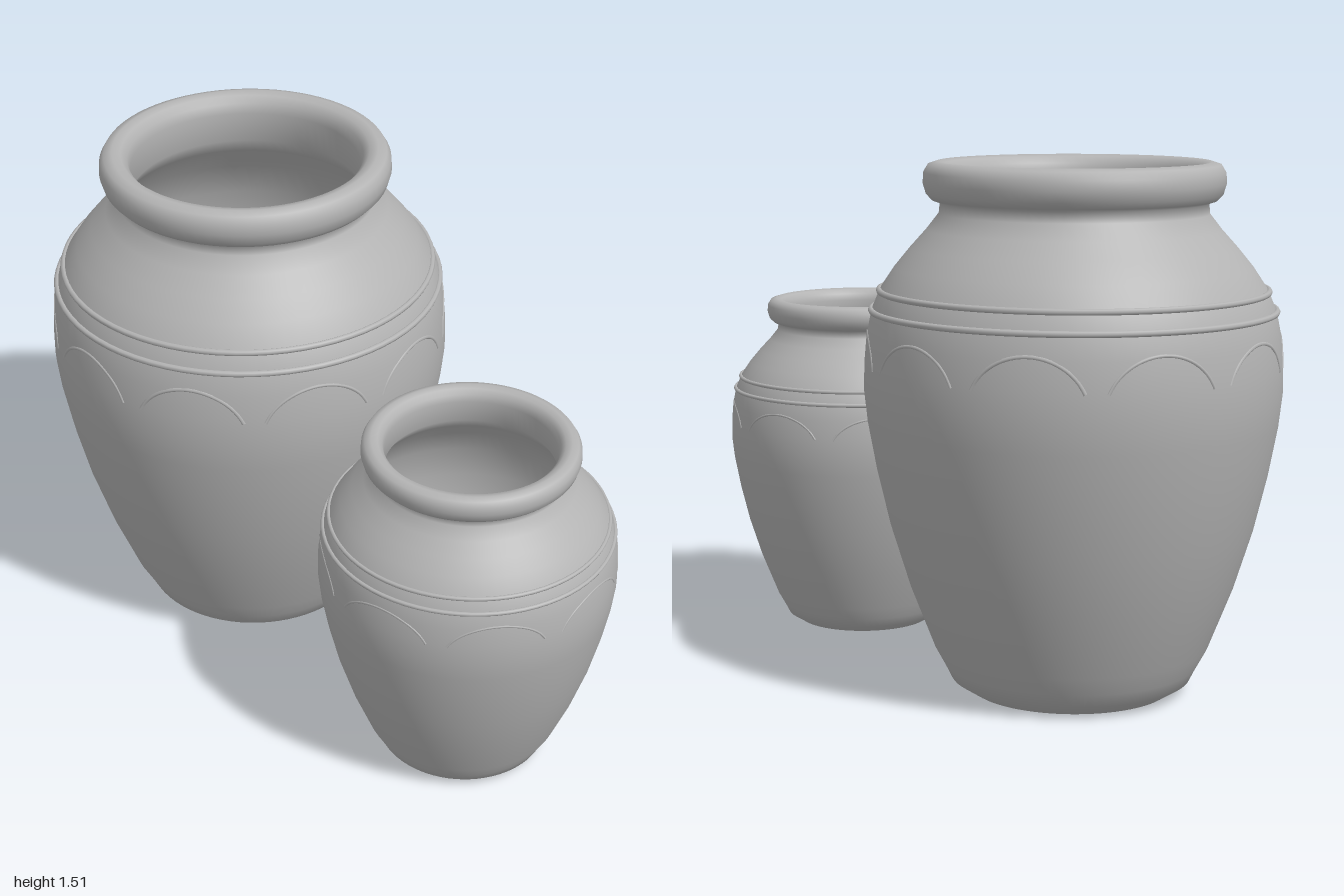
import * as THREE from 'three';

const SEGMENTS = 72;
const clay = new THREE.MeshStandardMaterial({ color: 0xb4b4b4 });
clay.name = 'grey clay';

// Points (radius, height) of the outer body, from foot to neck
const body = [
  [0.29, 0], [0.345, 0.035], [0.365, 0.075], [0.395, 0.13], [0.465, 0.31], [0.518, 0.48],
  [0.556, 0.64], [0.582, 0.78], [0.592, 0.87], [0.591, 0.95], [0.584, 1.03], [0.57, 1.1],
  [0.545, 1.16], [0.505, 1.22], [0.46, 1.275], [0.415, 1.325], [0.38, 1.37], [0.377, 1.4],
];
// Rolled rim and the inside, down to the floor
const rim = [
  [0.4, 1.408], [0.416, 1.425], [0.425, 1.455], [0.423, 1.485], [0.41, 1.507], [0.385, 1.515],
  [0.36, 1.509], [0.342, 1.49], [0.335, 1.46],
];
const inside = [
  [0.335, 1.37], [0.37, 1.32], [0.46, 1.22], [0.52, 1.1], [0.543, 0.95], [0.534, 0.78],
  [0.47, 0.48], [0.35, 0.13], [0.3, 0.05],
];

// Body radius at a given height
function radiusAt(y) {
  const i = body.findIndex((p) => p[1] >= y);
  const [r0, y0] = body[i - 1], [r1, y1] = body[i];
  return r0 + (r1 - r0) * (y - y0) / (y1 - y0);
}

function add(group, name, geometry) {
  const mesh = new THREE.Mesh(geometry, clay);
  mesh.name = name;
  group.add(mesh);
  return mesh;
}

function lathe(points) {
  return new THREE.LatheGeometry(points.map(([r, y]) => new THREE.Vector2(r, y)), SEGMENTS);
}

function makeJar(name, archCount, archHalf, archTurn) {
  const jar = new THREE.Group();
  jar.name = name;

  add(jar, 'wall', lathe([...body, ...rim, ...inside]));

  // Flat foot and inner floor
  const foot = add(jar, 'foot', new THREE.CircleGeometry(0.29, SEGMENTS));
  foot.rotation.x = Math.PI / 2;
  const floor = add(jar, 'floor', new THREE.CircleGeometry(0.3, SEGMENTS));
  floor.rotation.x = -Math.PI / 2;
  floor.position.y = 0.05;

  // Two raised bands around the shoulder
  for (const y of [1.1, 1.155]) {
    const band = add(jar, 'shoulderBand', new THREE.TorusGeometry(radiusAt(y) + 0.001, 0.009, 8, SEGMENTS));
    band.rotation.x = Math.PI / 2;
    band.position.y = y;
  }

  // Row of shallow raised arches below the bands
  for (let k = 0; k < archCount; k++) {
    const centre = archTurn + k * Math.PI * 2 / archCount;
    const points = [];
    for (let i = 0; i <= 12; i++) {
      const t = Math.PI * (0.12 + 0.76 * i / 12);
      const y = 0.89 + 0.15 * Math.sin(t);
      const angle = centre - archHalf * Math.cos(t) / Math.cos(Math.PI * 0.12);
      const r = radiusAt(y) - 0.003;
      points.push(new THREE.Vector3(r * Math.sin(angle), y, r * Math.cos(angle)));
    }
    add(jar, 'arch', new THREE.TubeGeometry(new THREE.CatmullRomCurve3(points), 24, 0.006, 6));
  }
  return jar;
}

export function createModel() {
  const model = new THREE.Group();
  model.name = 'pairOfJars';

  const large = makeJar('largeJar', 10, 0.262, THREE.MathUtils.degToRad(22));
  large.position.set(-0.407, 0, -0.047);

  const small = makeJar('smallJar', 8, 0.325, 0);
  small.scale.set(0.71, 0.687, 0.71);
  small.position.set(0.578, 0, 0.219);

  model.add(large, small);
  return model;
}
